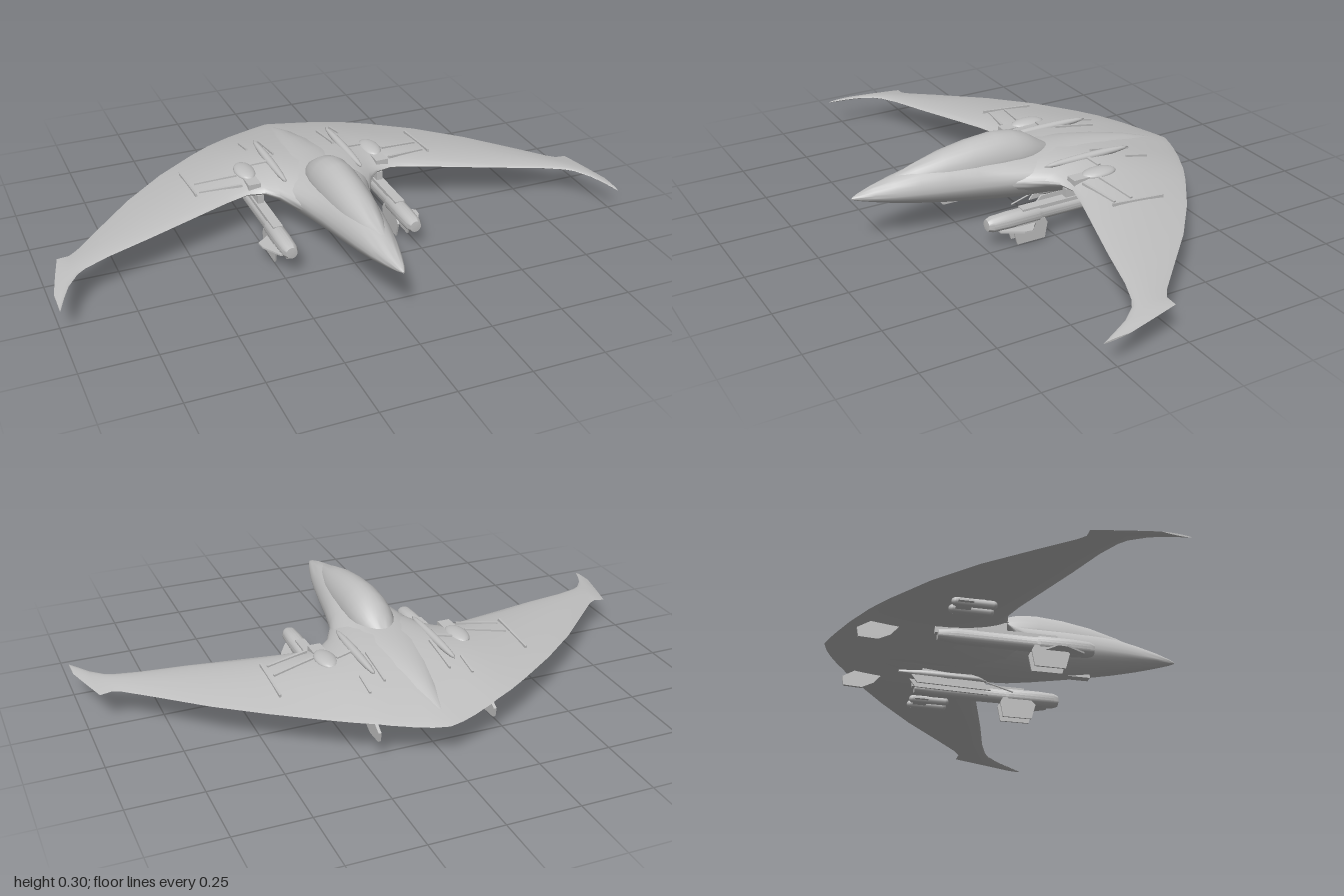
import * as THREE from 'three';
import { toCreasedNormals } from 'three/addons/utils/BufferGeometryUtils.js';

const hull = new THREE.MeshStandardMaterial({ color: 0xc0c0c0 });
hull.name = 'hullGrey';

// Skin closed rings of [x, y, z] points and cap both ends; faces always point outwards
function loft(rings, crease = 0.7) {
  const n = rings[0].length, pos = rings.flat(2), index = [];
  for (let i = 0; i < rings.length - 1; i++)
    for (let j = 0; j < n; j++) {
      const a = i * n + j, b = i * n + (j + 1) % n;
      index.push(a, b, a + n, b, b + n, a + n);
    }
  const last = (rings.length - 1) * n;
  for (let j = 1; j < n - 1; j++) index.push(0, j + 1, j, last, last + j, last + j + 1);
  const p = [0, 1, 2].map(() => new THREE.Vector3());
  let volume = 0;
  for (let i = 0; i < index.length; i += 3) {
    p.forEach((v, k) => v.fromArray(pos, index[i + k] * 3));
    volume += p[0].dot(p[1].clone().cross(p[2]));
  }
  if (volume < 0) index.reverse();
  const g = new THREE.BufferGeometry();
  g.setAttribute('position', new THREE.Float32BufferAttribute(pos, 3));
  g.setIndex(index);
  return toCreasedNormals(g, crease);
}

function part(parent, name, geometry, x = 0, y = 0, z = 0) {
  const mesh = new THREE.Mesh(geometry, hull);
  mesh.name = name;
  mesh.position.set(x, y, z);
  parent.add(mesh);
  return mesh;
}

// Wing stations: x, leading z, trailing z, leading y, trailing y, rise above, drop below
const stations = [
  [0, 0.22, -0.625, 0.155, 0.125, 0.078, 0.082],
  [0.05, 0.2, -0.612, 0.155, 0.125, 0.077, 0.078],
  [0.1, 0.14, -0.593, 0.157, 0.127, 0.07, 0.068],
  [0.14, 0.06, -0.575, 0.16, 0.13, 0.06, 0.055],
  [0.17, 0, -0.562, 0.162, 0.132, 0.052, 0.047],
  [0.21, -0.042, -0.54, 0.164, 0.135, 0.044, 0.04],
  [0.27, -0.055, -0.51, 0.164, 0.137, 0.036, 0.03],
  [0.35, -0.035, -0.46, 0.16, 0.138, 0.028, 0.022],
  [0.5, 0.01, -0.355, 0.149, 0.137, 0.018, 0.015],
  [0.65, 0.055, -0.23, 0.138, 0.131, 0.014, 0.011],
  [0.8, 0.095, -0.08, 0.126, 0.122, 0.01, 0.009],
  [0.88, 0.125, 0, 0.119, 0.116, 0.008, 0.007],
  [0.91, 0.145, 0.02, 0.116, 0.113, 0.007, 0.006],
  [0.95, 0.195, 0.018, 0.11, 0.109, 0.006, 0.005],
  [0.975, 0.245, 0.11, 0.104, 0.106, 0.005, 0.005],
  [1, 0.3, 0.21, 0.095, 0.102, 0.003, 0.003],
];
const bulge = u => Math.pow(Math.max(0, Math.sin(Math.PI * Math.pow(u, 0.72))), 0.85);

// Height of the wing skin at a plan position, side 1 for top and -1 for underside
function skin(x, z, side = 1) {
  const ax = Math.abs(x);
  const i = Math.max(1, stations.findIndex(s => s[0] >= ax));
  const a = stations[i - 1], b = stations[i], t = (ax - a[0]) / (b[0] - a[0]);
  const s = a.map((v, k) => v + (b[k] - v) * t);
  const u = THREE.MathUtils.clamp((s[1] - z) / (s[1] - s[2]), 0, 1);
  return s[3] + (s[4] - s[3]) * u + side * bulge(u) * (side > 0 ? s[5] : s[6]);
}

function wingGeometry() {
  const ring = (s, sign) => {
    const pts = [], N = 16;
    for (let k = 0; k < 2 * N; k++) {
      const top = k <= N;
      const v = top ? k / N : 2 - k / N;
      const u = (1 - Math.cos(Math.PI * v)) / 2;
      const y = s[3] + (s[4] - s[3]) * u + bulge(u) * (top ? s[5] : -s[6]);
      pts.push([sign * s[0], y, s[1] + (s[2] - s[1]) * u]);
    }
    return pts;
  };
  return loft([...stations.slice(1).reverse().map(s => ring(s, -1)), ...stations.map(s => ring(s, 1))], 1);
}

// Rounded body from rows of z, half width, top y, side y, bottom y; keel sharpens the underside
function bodyGeometry(rows, keel = 1, n = 28) {
  return loft(rows.map(([z, w, top, mid, low]) => Array.from({ length: n }, (_, k) => {
    const a = k / n * Math.PI * 2, s = Math.sin(a);
    const y = s >= 0 ? mid + (top - mid) * s : mid - (mid - low) * Math.pow(-s, keel);
    return [w * Math.cos(a), y, z];
  })));
}

// Vertical or flat fin from a 2D outline, given thickness
function plate(points, depth) {
  const shape = new THREE.Shape(points.map(p => new THREE.Vector2(...p)));
  return new THREE.ExtrudeGeometry(shape, { depth, bevelEnabled: false }).translate(0, 0, -depth / 2);
}
// Outline is [z, y]; result stands in the zy plane
const uprightFin = (points, depth) => plate(points, depth).rotateY(-Math.PI / 2);

function sideParts(side) {
  const g = new THREE.Group();
  g.name = side > 0 ? 'leftEquipment' : 'rightEquipment';
  const px = side * 0.225;

  // Long underwing pod with its pylon
  const profile = [[0, 0.25], [0.02, 0.248], [0.027, 0.23], [0.03, 0.17], [0.03, 0.06], [0.026, 0.05],
    [0.026, -0.22], [0.018, -0.28], [0, -0.28]].reverse().map(p => new THREE.Vector2(...p));
  part(g, 'pod', toCreasedNormals(new THREE.LatheGeometry(profile, 20).rotateX(Math.PI / 2), 0.6), px, 0.092, 0);
  part(g, 'podPylon', new THREE.BoxGeometry(0.022, 0.06, 0.24), px, 0.125, -0.17);
  part(g, 'podRail', new THREE.BoxGeometry(0.034, 0.014, 0.27), px, 0.117, -0.015);
  for (const dx of [-0.022, 0.022])
    part(g, 'podLowerFin', uprightFin([[0.14, 0.08], [0.16, 0.06], [0.145, 0.005], [0.04, 0.005], [0.03, 0.06], [0.04, 0.08]], 0.006), px + dx, 0, 0);
  part(g, 'podSideFin', plate([[0, 0.05], [side * 0.04, 0.09], [side * 0.068, 0.11], [side * 0.065, 0.14], [side * 0.025, 0.21], [0, 0.21]], 0.006).rotateX(Math.PI / 2), px, 0.068, 0);

  // Small outboard pods under the wing
  for (const dx of [-0.025, 0.025]) {
    const x = side * 0.4 + dx;
    part(g, 'outerPod', new THREE.CapsuleGeometry(0.014, 0.12, 5, 12).rotateX(Math.PI / 2), x, 0.115, -0.2);
    part(g, 'outerPylon', new THREE.BoxGeometry(0.01, 0.03, 0.09), x, 0.132, -0.21);
  }
  part(g, 'outerFin', new THREE.BoxGeometry(0.1, 0.006, 0.05), side * 0.4, 0.112, -0.23);

  // Small ventral blade near the trailing edge
  part(g, 'ventralBlade', uprightFin([[-0.4, 0.12], [-0.43, 0.085], [-0.47, 0.065], [-0.535, 0.068], [-0.54, 0.1], [-0.49, 0.13]], 0.01), side * 0.2, 0, 0);

  // Dorsal fairing, dome and spar boxes
  const ridge = part(g, 'dorsalRidge', new THREE.SphereGeometry(1, 16, 10), side * 0.142, skin(0.142, -0.19) - 0.002, -0.19);
  ridge.scale.set(0.015, 0.014, 0.17);
  const dome = part(g, 'dorsalDome', new THREE.SphereGeometry(1, 20, 12), side * 0.24, skin(0.24, -0.18) - 0.004, -0.175);
  dome.scale.set(0.036, 0.017, 0.065);
  part(g, 'domeBlock', new THREE.BoxGeometry(0.045, 0.022, 0.07), side * 0.24, skin(0.24, -0.1) - 0.004, -0.1);
  const thin = [[0.175, -0.19, 0.07, 0.012], [0.35, -0.17, 0.15, 0.01], [0.35, -0.105, 0.15, 0.01]];
  for (const [x, z, w, d] of thin) {
    const bar = part(g, 'wingSpar', new THREE.BoxGeometry(w, 0.009, d), side * x, skin(x, z) + 0.001, z);
    const slope = (skin(x + 0.05, z) - skin(x - 0.05, z)) / 0.1;
    bar.rotation.set(0, side * 0.2, side * Math.atan(slope));
  }
  // Fore and aft strakes
  for (const [x, z, l] of [[0.44, -0.2, 0.2], [0.18, -0.37, 0.09], [0.115, -0.3, 0.16]]) {
    const strake = part(g, 'strake', new THREE.BoxGeometry(0.007, 0.012, l), side * x, skin(x, z), z);
    strake.rotation.x = -Math.atan((skin(x, z + 0.05) - skin(x, z - 0.05)) / 0.1);
  }
  return g;
}

export function createModel() {
  const model = new THREE.Group();
  model.name = 'flyingWingCraft';
  part(model, 'wing', wingGeometry());
  part(model, 'fuselage', bodyGeometry([
    [0.622, 0.003, 0.188, 0.185, 0.182], [0.6, 0.014, 0.197, 0.185, 0.173], [0.55, 0.031, 0.213, 0.182, 0.158],
    [0.48, 0.05, 0.23, 0.178, 0.139], [0.4, 0.067, 0.246, 0.175, 0.12], [0.3, 0.084, 0.255, 0.17, 0.1],
    [0.2, 0.1, 0.252, 0.165, 0.083], [0.1, 0.122, 0.24, 0.162, 0.068], [0.02, 0.148, 0.23, 0.162, 0.06],
    [-0.08, 0.16, 0.226, 0.16, 0.057], [-0.2, 0.13, 0.221, 0.155, 0.056], [-0.32, 0.09, 0.206, 0.15, 0.066],
    [-0.44, 0.05, 0.182, 0.14, 0.086], [-0.55, 0.015, 0.148, 0.13, 0.112]], 1.3));
  part(model, 'canopy', bodyGeometry([
    [0.5, 0.008, 0.222, 0.21, 0.2], [0.4, 0.042, 0.254, 0.21, 0.19], [0.3, 0.062, 0.281, 0.21, 0.18],
    [0.2, 0.072, 0.298, 0.21, 0.18], [0.1, 0.077, 0.306, 0.21, 0.18], [0.03, 0.077, 0.298, 0.21, 0.18],
    [-0.02, 0.071, 0.281, 0.21, 0.18], [-0.06, 0.058, 0.255, 0.205, 0.18], [-0.1, 0.038, 0.228, 0.2, 0.18],
    [-0.13, 0.01, 0.21, 0.2, 0.19]]));

  // Belly rail and central keel pod
  part(model, 'bellyRail', new THREE.BoxGeometry(0.03, 0.02, 0.28), 0, 0.098, 0.16);
  part(model, 'keelPod', bodyGeometry([
    [-0.07, 0.01, 0.045, 0.04, 0.035], [-0.1, 0.026, 0.055, 0.042, 0.026], [-0.2, 0.03, 0.058, 0.042, 0.024],
    [-0.3, 0.026, 0.058, 0.045, 0.028], [-0.37, 0.006, 0.056, 0.05, 0.044]], 1, 16));
  part(model, 'keelMount', new THREE.BoxGeometry(0.025, 0.04, 0.18), 0, 0.062, -0.2);
  for (const x of [-0.02, 0.02])
    part(model, 'keelFin', uprightFin([[-0.08, 0.03], [-0.055, 0.002], [-0.31, 0.008], [-0.33, 0.035]], 0.006), x, 0, 0);
  const probe = part(model, 'keelProbe', new THREE.CylinderGeometry(0.003, 0.003, 0.1, 6), 0, 0.027, -0.02);
  probe.rotation.x = -Math.PI / 2 + 0.28;

  for (const side of [-1, 1]) model.add(sideParts(side));
  return model;
}
